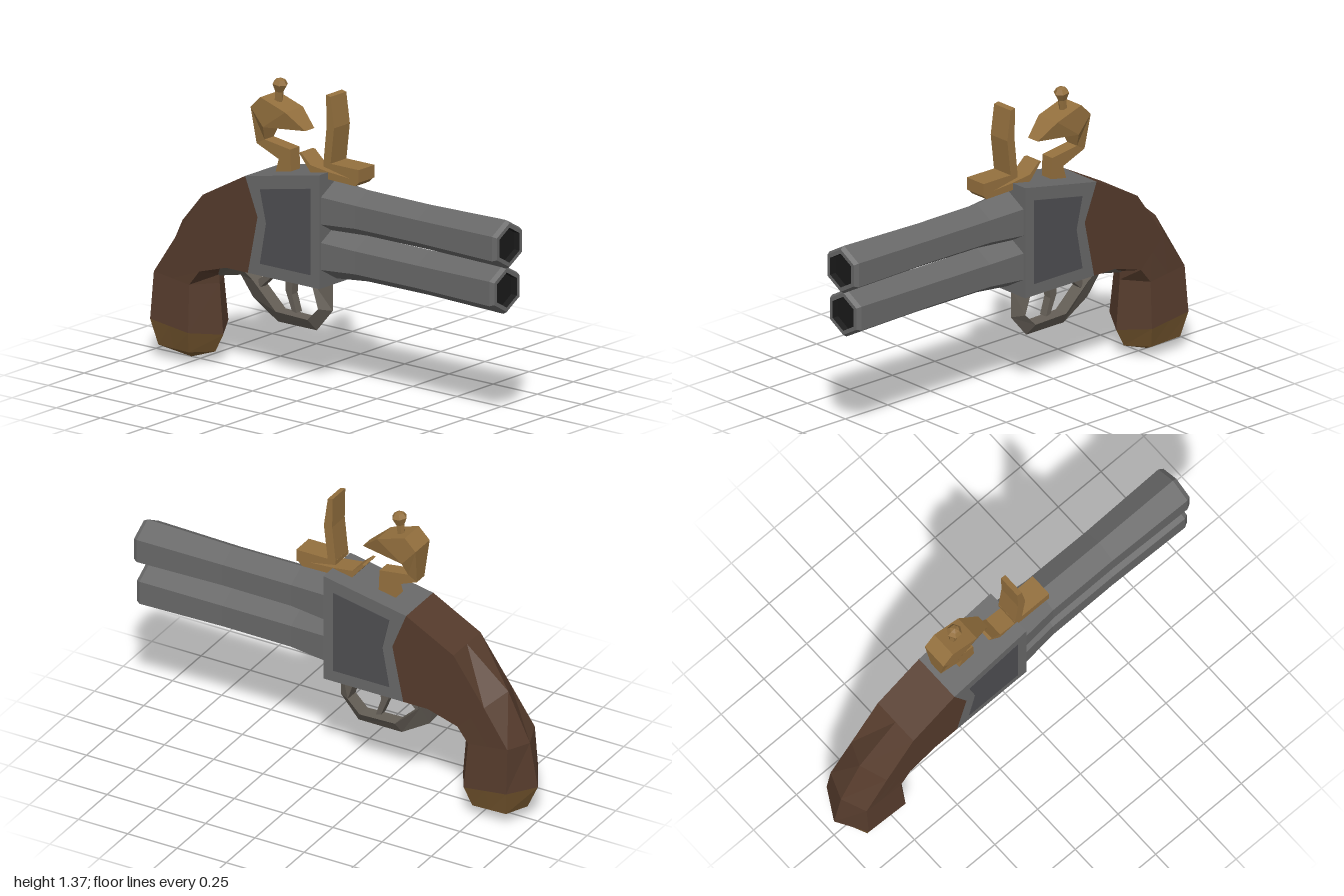
import * as THREE from 'three';

const mat = (color) => new THREE.MeshStandardMaterial({ color, flatShading: true, side: THREE.DoubleSide });
const STEEL = mat(0x686868), PANEL = mat(0x4e4e51), BORE = mat(0x1a1a1a), WOOD = mat(0x553b2c);
const CAP = mat(0x76572f), BRASS = mat(0x94703e), IRON = mat(0x645e56);

function mesh(name, geometry, material) {
  const g = geometry.index ? geometry.toNonIndexed() : geometry;
  g.computeVertexNormals();
  const m = new THREE.Mesh(g, material);
  m.name = name;
  return m;
}

// Side outline in (z, y), extruded across x and centred on x = 0
function slab(outline, width) {
  const shape = new THREE.Shape(outline.map(([z, y]) => new THREE.Vector2(z, y)));
  return new THREE.ExtrudeGeometry(shape, { depth: width, bevelEnabled: false })
    .translate(0, 0, -width / 2).rotateY(-Math.PI / 2);
}

// Closed skin through rings of [x, y, z] points, turned outward by its signed volume
function loft(rings) {
  const tris = [], n = rings[0].length;
  for (let i = 0; i + 1 < rings.length; i++) {
    for (let j = 0; j < n; j++) {
      const k = (j + 1) % n, a = rings[i], b = rings[i + 1];
      tris.push([a[j], a[k], b[k]], [a[j], b[k], b[j]]);
    }
  }
  const first = rings[0], last = rings[rings.length - 1];
  for (let j = 1; j + 1 < n; j++) {
    tris.push([first[0], first[j + 1], first[j]], [last[0], last[j], last[j + 1]]);
  }
  const v = (p) => new THREE.Vector3(...p);
  const volume = tris.reduce((s, [a, b, c]) => s + v(a).dot(v(b).cross(v(c))), 0);
  if (volume < 0) tris.forEach((t) => t.reverse());
  const g = new THREE.BufferGeometry();
  g.setAttribute('position', new THREE.Float32BufferAttribute(tris.flat(2), 3));
  return g;
}

// Grip ring: back ridge, back side, mid side, front side, front ridge, mirrored
function gripRing(w, back, backSide, frontSide, front, mid) {
  mid = mid || [(backSide[0] + frontSide[0]) / 2, (backSide[1] + frontSide[1]) / 2];
  const at = (x, [z, y]) => [x, y, z];
  return [at(0, back), at(w, backSide), at(w, mid), at(w, frontSide), at(0, front),
    at(-w, frontSide), at(-w, mid), at(-w, backSide)];
}

// Six-sided solid of revolution; profile in (radius, height)
const hexLathe = (profile) => new THREE.LatheGeometry(profile.map((p) => new THREE.Vector2(...p)), 6);

export function createModel() {
  const model = new THREE.Group();
  model.name = 'doubleBarrelPistol';

  // Two stacked hexagonal barrels with dark bores
  for (const [name, y, length] of [['upperBarrel', 0.845, 1], ['lowerBarrel', 0.637, 0.985]]) {
    const barrel = new THREE.Group();
    barrel.name = name;
    barrel.add(
      mesh('barrelTube', hexLathe([[0.126, 0], [0.105, 0.2], [0.103, 0.55],
        [0.112, length - 0.02], [0.1, length], [0.08, length]]).rotateX(Math.PI / 2), STEEL),
      mesh('bore', hexLathe([[0.08, length], [0.078, length - 0.03], [0, length - 0.03]]).rotateX(Math.PI / 2), BORE));
    barrel.position.y = y;
    model.add(barrel);
  }

  // Receiver with a darker plate on each side
  model.add(mesh('receiver', slab([[0.02, 1.01], [0.02, 0.49], [-0.385, 0.49], [-0.33, 0.755], [-0.4, 0.93]], 0.236), STEEL));
  model.add(mesh('sidePlates', slab([[-0.03, 0.94], [-0.03, 0.545], [-0.315, 0.545], [-0.28, 0.735], [-0.315, 0.885]], 0.241), PANEL));

  // Curved wooden grip and its butt cap
  const butt = gripRing(0.14, [-1, 0.177], [-0.92, 0.187], [-0.705, 0.16], [-0.62, 0.137]);
  model.add(mesh('grip', loft([
    gripRing(0.118, [-0.4, 0.93], [-0.4, 0.93], [-0.385, 0.49], [-0.385, 0.49], [-0.33, 0.755]),
    gripRing(0.118, [-0.64, 0.8], [-0.64, 0.8], [-0.51, 0.49], [-0.51, 0.49]),
    gripRing(0.118, [-0.85, 0.62], [-0.795, 0.578], [-0.66, 0.445], [-0.64, 0.41]),
    gripRing(0.12, [-0.96, 0.39], [-0.915, 0.4], [-0.715, 0.375], [-0.64, 0.37]),
    butt]), WOOD));
  const tip = [-0.8, 0.005];
  model.add(mesh('buttCap', loft([butt,
    gripRing(0.107, [-0.948, 0.065], [-0.9, 0.065], [-0.73, 0.06], [-0.665, 0.052]),
    gripRing(0, tip, tip, tip, tip)]), CAP));

  // Trigger guard: flat inside, ridged outside; [half width, outer, inner]
  const guard = [
    [0.035, [0, 0.5], [-0.1, 0.5]], [0.035, [0, 0.36], [-0.055, 0.365]],
    [0.035, [-0.09, 0.255], [-0.115, 0.305]], [0.035, [-0.31, 0.255], [-0.295, 0.31]],
    [0.035, [-0.45, 0.34], [-0.425, 0.43]], [0.04, [-0.52, 0.43], [-0.5, 0.485]],
    [0.06, [-0.66, 0.4], [-0.66, 0.44]]];
  model.add(mesh('triggerGuard', loft(guard.map(([w, o, i]) =>
    [[0, o[1], o[0]], [w, i[1], i[0]], [-w, i[1], i[0]]])), IRON));

  // Two triggers, one for each barrel
  model.add(mesh('frontTrigger', slab([[-0.21, 0.5], [-0.215, 0.4], [-0.19, 0.32], [-0.215, 0.325], [-0.25, 0.41], [-0.255, 0.5]], 0.04), IRON));
  model.add(mesh('rearTrigger', slab([[-0.325, 0.5], [-0.335, 0.455], [-0.4, 0.395], [-0.405, 0.435], [-0.375, 0.455], [-0.365, 0.5]], 0.04), IRON));

  // Striking plate standing on its pan and spring
  const frizzen = new THREE.Group();
  frizzen.name = 'frizzen';
  frizzen.add(
    mesh('strikingPlate', slab([[0.04, 1.36], [0.06, 1.22], [0.04, 1.05], [0, 1.05], [0.018, 1.22], [0.015, 1.365]], 0.11), BRASS),
    mesh('pan', slab([[0.2, 1.055], [0.2, 0.997], [0, 1.035], [0, 1.055]], 0.11), BRASS),
    mesh('panSpring', slab([[0.2, 1], [0.175, 0.975], [-0.07, 0.98], [-0.145, 1.07], [-0.13, 1.07], [-0.08, 1.025], [0.02, 1.012]], 0.095), BRASS));
  frizzen.position.x = -0.01;
  model.add(frizzen);

  // Cock: broad head, narrow jaw tip and neck
  const cock = slab([[-0.21, 0.95], [-0.3, 0.94], [-0.28, 1.01], [-0.405, 1.06], [-0.415, 1.23], [-0.36, 1.285],
    [-0.22, 1.24], [-0.13, 1.165], [-0.345, 1.15], [-0.36, 1.085], [-0.215, 1.065]], 2);
  const p = cock.attributes.position;
  for (let i = 0; i < p.count; i++) {
    const isHead = p.getY(i) > 1.1 && p.getZ(i) < -0.2;
    p.setX(i, p.getX(i) * (isHead ? 0.062 : 0.032));
  }
  model.add(mesh('cock', cock, BRASS));
  const screw = mesh('jawScrew', hexLathe([[0.018, 0], [0.02, 0.05], [0.036, 0.085], [0.022, 0.105], [0, 0.112]]), BRASS);
  screw.position.set(0, 1.26, -0.308);
  screw.rotation.x = 0.12;
  model.add(screw);

  return model;
}
